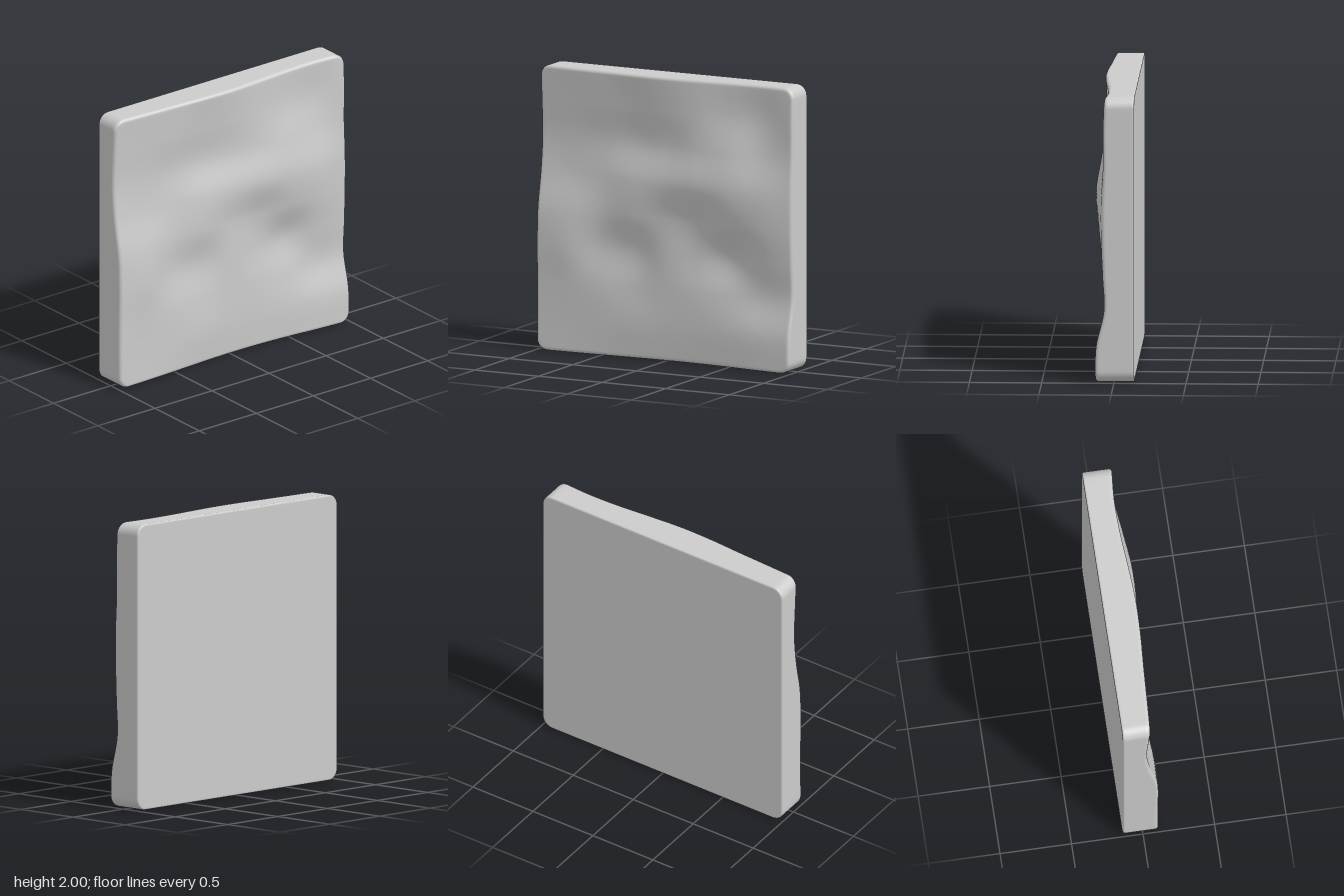
import * as THREE from 'three';

const BACK = -0.14, CORNER = 0.08, FRONT_FILLET = 0.025, BACK_FILLET = 0.012;

// Relief of the front face: rows run from top to bottom, columns from -x to +x.
const RELIEF = [
  [.055, .068, .080, .095, .097, .080, .060, .055, .070],
  [.040, .050, .060, .062, .075, .080, .060, .045, .080],
  [.030, .035, .035, .035, .060, .095, .105, .075, .077],
  [.055, .050, .060, .088, .110, .137, .143, .120, .087],
  [.100, .098, .080, .093, .085, .078, .108, .110, .087],
  [.110, .115, .067, .055, .083, .057, .032, .072, .080],
  [.107, .107, .095, .080, .085, .080, .066, .055, .072],
  [.107, .103, .100, .095, .086, .086, .096, .110, .126],
  [.110, .104, .093, .080, .072, .076, .092, .116, .133],
];

// Smooth cubic through evenly spaced values.
function cubic(v, t) {
  const n = v.length - 1;
  const i = Math.min(n - 1, Math.max(0, Math.floor(t))), f = t - i;
  const b = v[i], c = v[i + 1];
  const a = i > 0 ? v[i - 1] : 2 * b - c;
  const d = i + 2 <= n ? v[i + 2] : 2 * c - b;
  return b + 0.5 * f * (c - a + f * (2 * a - 5 * b + 4 * c - d + f * (3 * (b - c) + d - a)));
}

function reliefHeight(x, y) {
  const u = THREE.MathUtils.clamp((x + 1) * 4, 0, 8);
  const v = THREE.MathUtils.clamp((1 - y) * 4, 0, 8);
  return cubic(RELIEF.map((row) => cubic(row, u)), v);
}

// Rounded square, counter-clockwise from the front, shrunk by an inset.
function outline(inset, sideSteps = 44, cornerSteps = 8) {
  const points = [], r = CORNER - inset, c = 1 - CORNER;
  for (let k = 0; k < 4; k++) {
    const turn = k * Math.PI / 2;
    const add = (x, y) => points.push(new THREE.Vector2(x, y).rotateAround(new THREE.Vector2(), turn));
    for (let i = 0; i < sideSteps; i++) add(c + r, -c + 2 * c * i / sideSteps);
    for (let i = 0; i < cornerSteps; i++) {
      const a = i / cornerSteps * Math.PI / 2;
      add(c + r * Math.cos(a), c + r * Math.sin(a));
    }
  }
  return points;
}

function slabGeometry() {
  const positions = [], index = [];
  let count = 0;
  const addRing = (points, scale, z) => {
    for (const p of points) positions.push(p.x * scale, p.y * scale + 1, z(p.x * scale, p.y * scale));
    count = points.length;
  };

  // Wavy front, from the centre out to the fillet
  const front = outline(FRONT_FILLET);
  const steps = 56;
  for (let i = 0; i <= steps; i++) addRing(front, i / steps, reliefHeight);

  // Front fillet, following the wavy rim
  for (let i = 1; i <= 6; i++) {
    const a = i / 6 * Math.PI / 2;
    addRing(outline(FRONT_FILLET * (1 - Math.sin(a))), 1,
      (x, y) => reliefHeight(x, y) - FRONT_FILLET * (1 - Math.cos(a)));
  }
  addRing(outline(0), 1, (x, y) => reliefHeight(x, y) - FRONT_FILLET - 0.005);

  // Straight rim and back fillet
  addRing(outline(0), 1, () => BACK + BACK_FILLET + 0.005);
  for (let i = 0; i <= 4; i++) {
    const a = i / 4 * Math.PI / 2;
    addRing(outline(BACK_FILLET * (1 - Math.cos(a))), 1, () => BACK + BACK_FILLET * (1 - Math.sin(a)));
  }

  // Flat back, closing to the centre
  const back = outline(BACK_FILLET);
  for (const s of [0.99, 0.5, 0]) addRing(back, s, () => BACK);

  const rings = positions.length / 3 / count;
  for (let r = 0; r < rings - 1; r++) {
    for (let i = 0; i < count; i++) {
      const j = (i + 1) % count;
      const a = r * count + i, b = r * count + j, c = a + count, d = b + count;
      if (r < rings - 2) index.push(a, c, d);
      if (r > 0) index.push(a, d, b);
    }
  }
  const geometry = new THREE.BufferGeometry();
  geometry.setAttribute('position', new THREE.Float32BufferAttribute(positions, 3));
  geometry.setIndex(index);
  geometry.computeVertexNormals();

  // The centre points of front and back share one normal each
  const normals = geometry.attributes.normal;
  for (let i = 0; i < count; i++) {
    normals.setXYZ(i, normals.getX(count), normals.getY(count), normals.getZ(count));
    normals.setXYZ((rings - 1) * count + i, 0, 0, -1);
  }
  return geometry;
}

export function createModel() {
  const group = new THREE.Group();
  group.name = 'wavyPanel';
  const slab = new THREE.Mesh(slabGeometry(), new THREE.MeshStandardMaterial({ color: 0xcccccc }));
  slab.name = 'reliefSlab';
  group.add(slab);
  return group;
}
